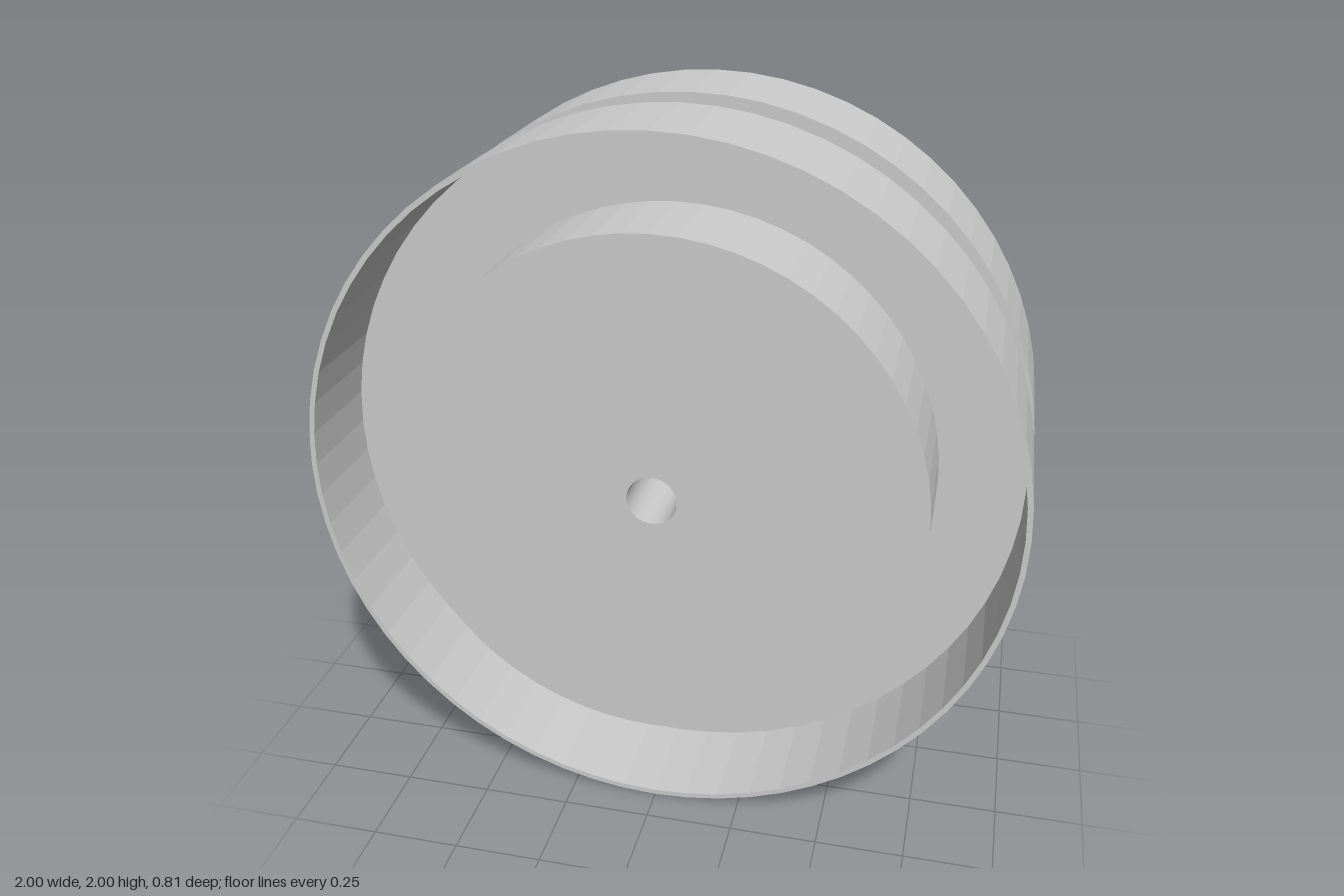
import * as THREE from 'three';

const SEGMENTS = 64;
const OUTER = 1, INNER = 0.985, HUB = 0.745, BORE = 0.07;
const FACE = 0.403, FLOOR = 0.1, GROOVE = 0.069;

const material = new THREE.MeshStandardMaterial({ color: 0xcccccc, flatShading: true });

// Revolves [radius, z] points around the wheel's z axis
function ring(name, profile) {
  const points = profile.map(([r, z]) => new THREE.Vector2(r, z));
  const geometry = new THREE.LatheGeometry(points, SEGMENTS).rotateX(Math.PI / 2);
  const mesh = new THREE.Mesh(geometry, material);
  mesh.name = name;
  return mesh;
}

export function createModel() {
  const wheel = new THREE.Group();
  wheel.name = 'groovedWheel';

  // Solid hub with a through bore, flush with the front rim
  wheel.add(ring('hub', [
    [BORE, -FLOOR], [HUB, -FLOOR], [HUB, FACE], [BORE, FACE], [BORE, -FLOOR],
  ]));

  // Thin-walled front cup around the hub
  wheel.add(ring('frontFlange', [
    [HUB, GROOVE], [OUTER, GROOVE], [OUTER, FACE], [INNER, FACE], [INNER, FLOOR], [HUB, FLOOR],
  ]));

  // Thin-walled back cup, its floor level with the hub's back
  wheel.add(ring('backFlange', [
    [HUB, -FLOOR], [INNER, -FLOOR], [INNER, -FACE], [OUTER, -FACE], [OUTER, -GROOVE], [HUB, -GROOVE],
  ]));

  // Stand the wheel on the ground
  wheel.children.forEach((part) => { part.position.y = OUTER; });
  return wheel;
}
